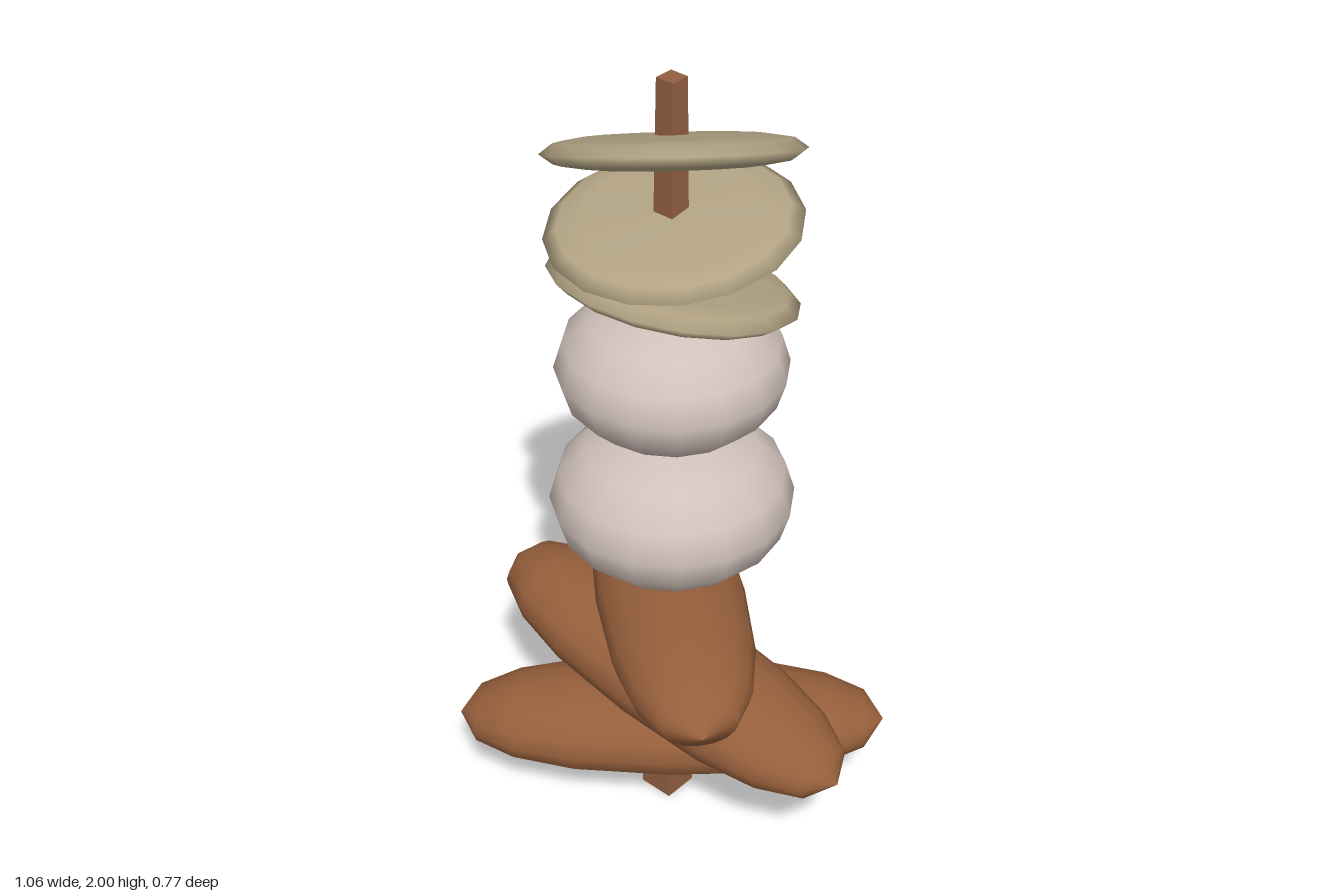
import * as THREE from 'three';

const mat = (name, color) => {
  const m = new THREE.MeshStandardMaterial({ color });
  m.name = name;
  return m;
};

// Closed, smooth solid of revolution from the upper half of a profile (pole to equator), mirrored below
function spun(upper, sides = 16) {
  const pts = [
    ...upper.map(([r, y]) => new THREE.Vector2(r, -y)),
    ...upper.slice(0, -1).reverse().map(([r, y]) => new THREE.Vector2(r, y)),
  ];
  return new THREE.LatheGeometry(pts, sides);
}

export function createModel() {
  const group = new THREE.Group();
  const wood = mat('skewer wood', 0x925f41);
  const brown = mat('sausage brown', 0x965f3c);
  const pale = mat('onion pale', 0xd0c1ba);
  const tan = mat('slice tan', 0xb3a484);
  const up = new THREE.Vector3(0, 1, 0);

  const add = (name, geometry, material, x, y, z) => {
    const mesh = new THREE.Mesh(geometry, material);
    mesh.name = name;
    mesh.position.set(x, y, z);
    group.add(mesh);
    return mesh;
  };

  // Square skewer, tapering and leaning very slightly
  const stick = new THREE.BoxGeometry(0.09, 2, 0.09);
  const p = stick.attributes.position;
  for (let i = 0; i < p.count; i++) {
    const top = p.getY(i) > 0;
    const k = top ? 0.52 : 1;
    p.setXYZ(i, p.getX(i) * k + (top ? 0.004 : -0.01), p.getY(i), p.getZ(i) * k);
  }
  stick.computeVertexNormals();
  add('skewer', stick, wood, 0, 1, 0);

  // Sausages: blunt ended ovals, flattened in height, each turned and tilted
  const sausage = spun([[0, 0.535], [0.088, 0.487], [0.138, 0.388], [0.17, 0.235], [0.182, 0]]);
  sausage.rotateZ(-Math.PI / 2);
  sausage.scale(1, 0.66, 1);
  [
    ['bottomSausage', 0.23, 38, 0.037],
    ['middleSausage', 0.4, 0, -0.132],
    ['topSausage', 0.62, -40.5, 0.037],
  ].forEach(([name, y, turn, slope]) => {
    const m = add(name, sausage, brown, 0, y, 0);
    m.rotation.set(0, turn * Math.PI / 180, Math.atan(slope), 'YXZ');
  });

  // Onions: flattened balls
  [['lowerOnion', 0.936, 0.287, 0.19], ['upperOnion', 1.296, 0.267, 0.175]].forEach(([name, y, r, h]) => {
    const ball = new THREE.SphereGeometry(1, 16, 8);
    ball.scale(r, h, r);
    add(name, ball, pale, 0.005, y, 0);
  });

  // Thin round slices, each facing its own direction
  const slice = spun([[0, 0.034], [0.2, 0.031], [0.255, 0.022], [0.285, 0]]);
  [
    ['lowerSlice', 1.504, [0, 0.963, -0.27]],
    ['middleSlice', 1.655, [0, 0.99, 0.14]],
    ['upperSlice', 1.832, [-0.3, 0.906, -0.3]],
  ].forEach(([name, y, n]) => {
    const m = add(name, slice, tan, 0.01, y, 0);
    m.quaternion.setFromUnitVectors(up, new THREE.Vector3(...n).normalize());
  });

  return group;
}
